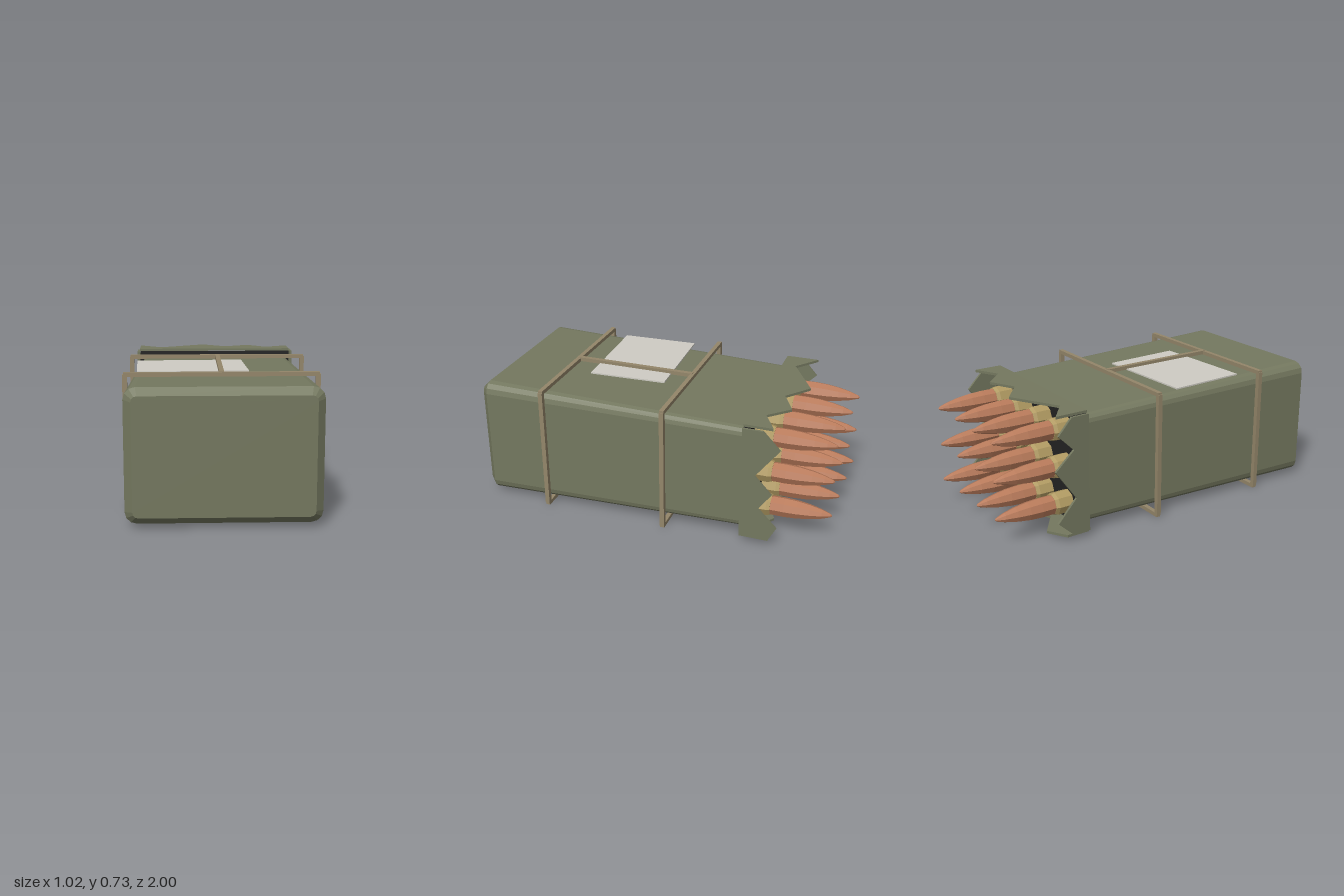
import * as THREE from 'three';

const material = (color, side = THREE.FrontSide) =>
  new THREE.MeshStandardMaterial({ color, flatShading: true, side });

const olive = material(0x74785f);
const oliveCard = material(0x74785f, THREE.DoubleSide);
const dark = material(0x222222);
const wire = material(0x94866a);
const paper = material(0xcfccc4);
const copper = material(0xb87a5a);
const brass = material(0xb09a62);

const MID_Y = 0.3625;
const BACK = 0.53; // distance behind the centre where the torn collar starts

// Ring of points around a rounded rectangle, anticlockwise seen from the front
function roundedRing(halfW, halfH, radius, z, steps = 3) {
  const ring = [];
  const corners = [[1, 1], [-1, 1], [-1, -1], [1, -1]];
  corners.forEach(([sx, sy], q) => {
    for (let i = 0; i <= steps; i++) {
      const a = (q + i / steps) * Math.PI / 2;
      ring.push([
        sx * (halfW - radius) + radius * Math.cos(a),
        MID_Y + sy * (halfH - radius) + radius * Math.sin(a),
        z,
      ]);
    }
  });
  return ring;
}

// Closed skin over rings listed from front to back
function loft(rings) {
  const n = rings[0].length;
  const positions = rings.flat(2);
  const index = [];
  for (let r = 0; r < rings.length - 1; r++) {
    for (let i = 0; i < n; i++) {
      const a = r * n + i, b = r * n + (i + 1) % n;
      index.push(a, a + n, b, b, a + n, b + n);
    }
  }
  const last = (rings.length - 1) * n;
  for (let i = 1; i < n - 1; i++) {
    index.push(0, i, i + 1);
    index.push(last, last + i + 1, last + i);
  }
  const geometry = new THREE.BufferGeometry();
  geometry.setAttribute('position', new THREE.Float32BufferAttribute(positions, 3));
  geometry.setIndex(index);
  const flat = geometry.toNonIndexed();
  flat.computeVertexNormals();
  return flat;
}

function add(parent, name, geometry, mat, x = 0, y = 0, z = 0) {
  const mesh = new THREE.Mesh(geometry, mat);
  mesh.name = name;
  mesh.position.set(x, y, z);
  parent.add(mesh);
  return mesh;
}

// Flat card with a torn rear edge; each point is [across, distance back]
function tornCard(edge) {
  const outline = [[edge[0][0], BACK], ...edge, [edge[edge.length - 1][0], BACK]];
  const shape = new THREE.Shape(outline.map(([u, v]) => new THREE.Vector2(u, v)));
  return new THREE.ExtrudeGeometry(shape, { depth: 0.014, bevelEnabled: false })
    .rotateX(-Math.PI / 2);
}

// Surface of revolution pointing backwards; each point is [radius, distance back]
function turned(points) {
  return new THREE.LatheGeometry(points.map(([r, d]) => new THREE.Vector2(r, d)), 8)
    .rotateX(-Math.PI / 2);
}

export function createModel() {
  const model = new THREE.Group();
  model.name = 'cartridgePack';

  // Tapered packet with a bevelled front
  add(model, 'packet', loft([
    roundedRing(0.45, 0.302, 0.03, 1),
    roundedRing(0.49, 0.34, 0.06, 0.96),
    roundedRing(0.45, 0.3, 0.04, -BACK),
  ]), olive);

  // Dark inside of the opened end
  add(model, 'darkInterior', new THREE.BoxGeometry(0.94, 0.645, 0.03), dark,
    0, MID_Y, -BACK - 0.017);

  // Torn collar, one card per side
  const collar = new THREE.Group();
  collar.name = 'tornCollar';
  model.add(collar);
  add(collar, 'topTear', tornCard([
    [-0.475, 0.715], [-0.34, 0.61], [-0.07, 0.76], [0.07, 0.65],
    [0.22, 0.725], [0.33, 0.615], [0.47, 0.69],
  ]), oliveCard, 0, 0.69, 0);
  add(collar, 'bottomTear', tornCard([
    [-0.475, 0.66], [-0.37, 0.725], [-0.23, 0.62], [-0.05, 0.69],
    [0.1, 0.6], [0.26, 0.67], [0.36, 0.6], [0.47, 0.69],
  ]), oliveCard, 0, 0.022, 0);
  const leftTear = add(collar, 'leftTear', tornCard([
    [0.036, 0.69], [0.12, 0.735], [0.225, 0.63], [0.32, 0.7],
    [0.42, 0.605], [0.59, 0.735], [0.688, 0.64],
  ]), oliveCard, 0.49, 0, 0);
  const rightTear = add(collar, 'rightTear', tornCard([
    [0.036, 0.63], [0.12, 0.72], [0.24, 0.61], [0.41, 0.73],
    [0.51, 0.62], [0.6, 0.71], [0.688, 0.63],
  ]), oliveCard, -0.476, 0, 0);
  leftTear.rotation.z = rightTear.rotation.z = Math.PI / 2;

  // Cartridges in three rows of four
  const bulletShape = turned([
    [0, 0.64], [0.054, 0.64], [0.055, 0.74], [0.051, 0.81], [0.041, 0.88],
    [0.026, 0.945], [0.01, 0.99], [0, 1],
  ]);
  const caseShape = turned([[0, 0.54], [0.064, 0.54], [0.064, 0.645], [0.057, 0.665], [0, 0.665]]);
  for (let row = 0; row < 3; row++) {
    for (let column = 0; column < 4; column++) {
      const cartridge = new THREE.Group();
      cartridge.name = 'cartridge';
      cartridge.position.set(-0.32 + column * 0.21, 0.153 + row * 0.211, 0);
      add(cartridge, 'bullet', bulletShape, copper);
      add(cartridge, 'case', caseShape, brass);
      model.add(cartridge);
    }
  }

  // Two binding hoops, joined by a bar along the top
  for (const z of [0.61, -0.095]) {
    const hoop = new THREE.Group();
    hoop.name = 'bindingHoop';
    hoop.position.z = z;
    model.add(hoop);
    for (const y of [0.011, 0.711]) {
      add(hoop, 'hoopCrossbar', new THREE.BoxGeometry(1.015, 0.022, 0.025), wire, 0, y, 0);
    }
    for (const x of [-0.5, 0.5]) {
      add(hoop, 'hoopUpright', new THREE.BoxGeometry(0.025, 0.7, 0.025), wire, x, 0.361, 0);
    }
  }
  add(model, 'topBar', new THREE.BoxGeometry(0.026, 0.022, 0.705), wire, 0, 0.714, 0.2575);

  // Blank paper label, slightly askew
  const label = add(model, 'label', new THREE.BoxGeometry(0.595, 0.008, 0.44), paper,
    -0.155, 0.704, 0.26);
  label.rotation.y = 0.042;

  return model;
}
